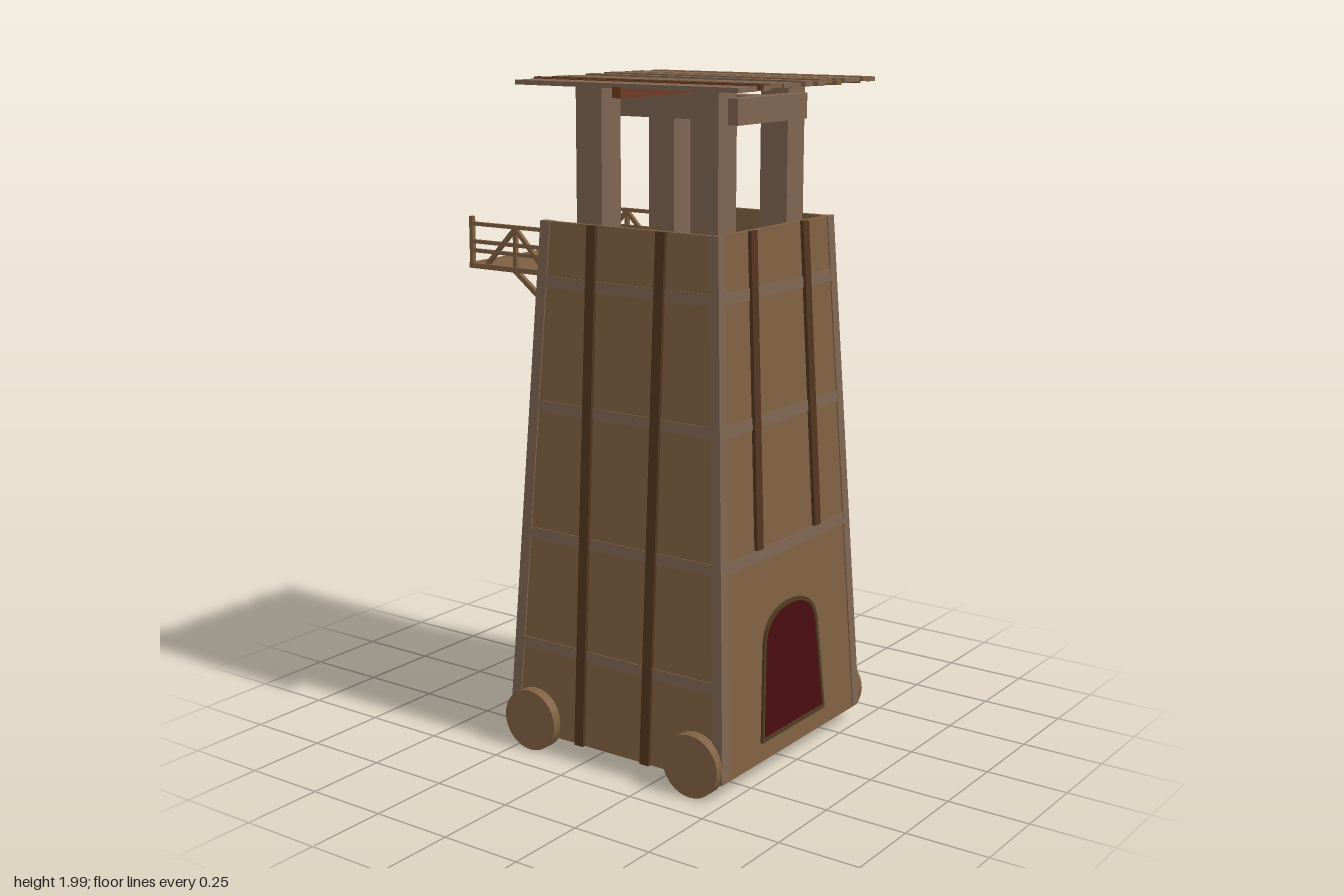
import * as THREE from 'three';

const CX = 0.1, Y0 = 0.055, FLOOR = 1.44, Y1 = 1.595;
const mix = (a, b, y) => a + (b - a) * (y - Y0) / (Y1 - Y0);
const halfX = y => mix(0.385, 0.305, y);
const halfZ = y => mix(0.38, 0.3, y);

export function createModel() {
  const model = new THREE.Group();
  const mat = (name, color) => {
    const m = new THREE.MeshStandardMaterial({ color });
    m.name = name;
    return m;
  };
  const wood = mat('wood', 0x7f6041);
  const greyWood = mat('grey wood', 0x7e6552);
  const darkWood = mat('dark wood', 0x52351f);
  const redWood = mat('red wood', 0x6f3c24);
  const doorRed = mat('door red', 0x480c10);
  const frameBrown = mat('frame brown', 0x4f3a22);

  const add = (name, geo, material, parent = model) => {
    const mesh = new THREE.Mesh(geo, material);
    mesh.name = name;
    parent.add(mesh);
    return mesh;
  };
  // box from its minimum and maximum corners
  const block = (name, a, b, material, parent) => {
    const m = add(name, new THREE.BoxGeometry(b[0] - a[0], b[1] - a[1], b[2] - a[2]), material, parent);
    m.position.set((a[0] + b[0]) / 2, (a[1] + b[1]) / 2, (a[2] + b[2]) / 2);
    return m;
  };
  // square bar between two points
  const bar = (name, a, b, t, material, parent) => {
    const p = new THREE.Vector3(...a), q = new THREE.Vector3(...b), d = q.clone().sub(p);
    const m = add(name, new THREE.BoxGeometry(t, d.length(), t), material, parent);
    m.position.copy(p).add(q).multiplyScalar(0.5);
    m.quaternion.setFromUnitVectors(new THREE.Vector3(0, 1, 0), d.normalize());
    return m;
  };
  // move every vertex of a geometry by a rule
  const warp = (geo, rule) => {
    const p = geo.attributes.position;
    for (let i = 0; i < p.count; i++) p.setXYZ(i, ...rule(p.getX(i), p.getY(i), p.getZ(i)));
    geo.computeVertexNormals();
    return geo;
  };

  // four sloping walls: 0 front, 1 door side, 2 back, 3 balcony side
  const walls = ['frontWall', 'leftWall', 'backWall', 'rightWall'].map((name, side) => {
    const g = new THREE.Group();
    g.name = name;
    g.position.x = CX;
    g.rotation.y = side * Math.PI / 2;
    model.add(g);
    return g;
  });
  const out = side => side % 2 ? halfX : halfZ;
  const across = side => side % 2 ? halfZ : halfX;
  // board lying on a wall; centre and half width may change with height
  const board = (name, side, centre, half, y0, y1, d0, d1, material) =>
    add(name, warp(new THREE.BoxGeometry(2, 1, 1), (x, y, z) => {
      const h = y0 + (y + 0.5) * (y1 - y0);
      return [centre(h) + x * half(h), h, out(side)(h) + (z > 0 ? d1 : d0)];
    }), material, walls[side]);

  // solid tower up to the fighting floor
  add('towerBody', warp(new THREE.BoxGeometry(2, 1, 2), (x, y, z) => {
    const h = y > 0 ? FLOOR : Y0;
    return [CX + x * halfX(h), h, z * halfZ(h)];
  }), wood);

  for (let side = 0; side < 4; side++) {
    // parapet, open on the balcony side
    if (side !== 3) board('parapet', side, () => 0, across(side), FLOOR, Y1, -0.015, 0, wood);
    // pale horizontal bands
    for (const y of [1.42, 1.055, 0.67, 0.33]) {
      if (side === 1 && y < 0.5) continue;
      board('band', side, () => 0, across(side), y - 0.017, y + 0.017, -0.005, 0.003, greyWood);
    }
    // dark upright battens
    for (const s of [-1, 1]) {
      const centre = side % 2 ? y => s * mix(0.172, 0.137, y) : () => s * 0.12;
      board('batten', side, centre, () => 0.016, side === 1 ? 0.69 : Y0,
        side === 3 ? FLOOR - 0.01 : Y1, -0.005, 0.011, darkWood);
    }
  }

  // corner posts
  for (const sx of [-1, 1]) for (const sz of [-1, 1]) {
    const at = y => [CX + sx * (halfX(y) - 0.013), y, sz * (halfZ(y) - 0.013)];
    bar('cornerPost', at(0.06), at(Y1), 0.034, greyWood);
  }

  // arched door with a thin frame
  const arch = (s, grow) => {
    const w = 0.158 + grow, top = 0.49 + grow;
    s.moveTo(-w - 0.005, 0.125 - grow);
    s.lineTo(w + 0.005, 0.125 - grow);
    s.lineTo(w - 0.022, 0.4);
    s.bezierCurveTo(w - 0.03, 0.465 + grow, 0.07, top, 0, top);
    s.bezierCurveTo(-0.07, top, -w + 0.03, 0.465 + grow, -w + 0.022, 0.4);
    s.closePath();
    return s;
  };
  const onWall = (shape, depth) => warp(
    new THREE.ExtrudeGeometry(shape, { depth, bevelEnabled: false, curveSegments: 10 }),
    (x, y, z) => [x, y, halfX(y) + z]);
  const frame = arch(new THREE.Shape(), 0.012);
  frame.holes.push(arch(new THREE.Path(), 0));
  add('doorFrame', onWall(frame, 0.007), frameBrown, walls[1]);
  add('door', onWall(arch(new THREE.Shape(), 0), 0.004), doorRed, walls[1]);

  // wheels
  for (const x of [-0.193, 0.392]) for (const s of [-1, 1]) {
    const w = add('wheel', new THREE.CylinderGeometry(0.094, 0.094, 0.04, 32).rotateX(Math.PI / 2), wood);
    w.position.set(x, 0.1, s * 0.387);
  }

  // balcony deck with raised lip, railings and struts
  const balcony = new THREE.Group();
  balcony.name = 'balcony';
  model.add(balcony);
  block('deck', [-0.49, 1.43, -0.283], [-0.19, 1.445, 0.28], wood, balcony);
  block('deckLip', [-0.505, 1.43, -0.283], [-0.489, 1.447, 0.28], wood, balcony);
  for (const z of [-0.275, 0.272]) {
    for (const y of [1.563, 1.51, 1.483]) bar('rail', [-0.5, y, z], [-0.205, y, z], 0.011, wood, balcony);
    bar('railPost', [-0.498, 1.44, z], [-0.498, 1.585, z], 0.013, wood, balcony);
    bar('railPost', [-0.33, 1.44, z], [-0.33, 1.565, z], 0.012, wood, balcony);
    for (const s of [-1, 1]) {
      bar('railBrace', [-0.33, 1.56, z], [-0.33 + s * 0.11, 1.445, z], 0.012, wood, balcony);
    }
    bar('strut', [-0.2, 1.335, z], [-0.335, 1.437, z], 0.014, wood, balcony);
  }

  // roof posts and tie beams
  for (const x of [-0.145, 0.255]) for (const z of [-0.23, 0.125]) {
    block('roofPost', [x, FLOOR, z], [x + 0.092, 1.985, z + 0.09], greyWood);
  }
  for (const x of [-0.175, 0.335]) {
    block('sideBeam', [x, 1.882, -0.19], [x + 0.045, 1.955, 0.17], greyWood);
  }
  block('crossBeam', [-0.14, 1.882, -0.045], [0.345, 1.955, 0.03], greyWood);
  block('ridgeBeam', [0.085, 1.955, -0.38], [0.115, 1.986, 0.347], redWood);

  // roof planks: far edge, near edge, colour; ends and heights vary a little
  const roof = new THREE.Group();
  roof.name = 'roof';
  model.add(roof);
  const planks = [
    [-0.385, greyWood], [-0.35, wood], [-0.308, darkWood], [-0.286, greyWood], [-0.2, greyWood],
    [-0.178, wood], [-0.155, wood], [-0.09, greyWood], [-0.05, wood], [-0.025, greyWood],
    [0.015, wood], [0.06, greyWood], [0.12, wood], [0.18, greyWood], [0.215, darkWood],
    [0.237, redWood], [0.256, greyWood], [0.345, null]];
  for (let i = 0; i < planks.length - 1; i++) {
    const [z, m] = planks[i];
    const lift = 0.003 * Math.sin(i * 2.3);
    block('roofPlank', [-0.27 + 0.01 * Math.sin(i * 1.7), 1.984 + lift, z],
      [0.49 + 0.009 * Math.sin(i * 2.9), 1.997 + lift, planks[i + 1][0]], m, roof);
  }
  return model;
}
